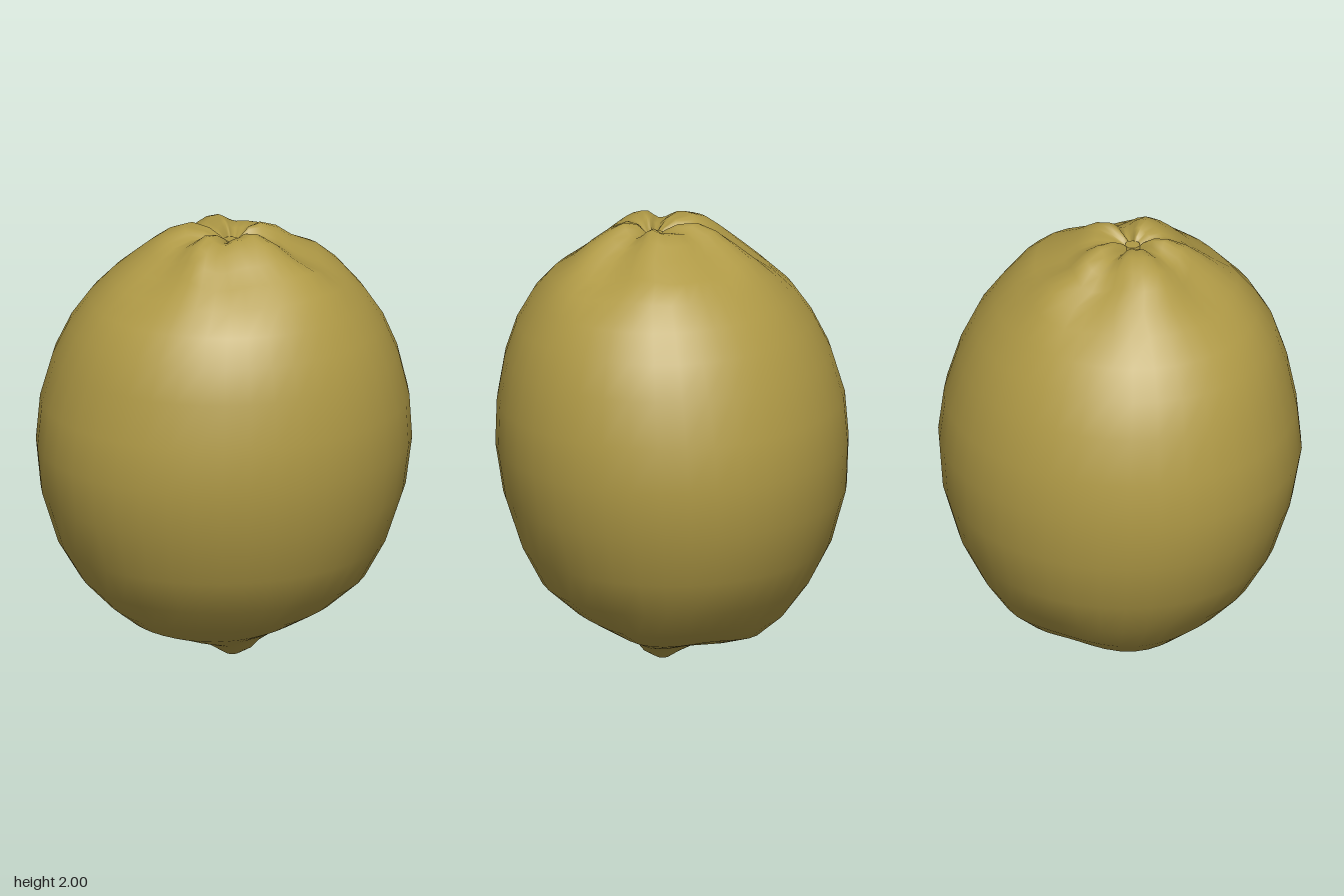
import * as THREE from 'three';

const SEGMENTS = 40;

// cross-sections from the tip to the crown: [y, xMin, xMax, zMin, zMax]
const RINGS = [
  [0.01, 0.01, 0.07, -0.03, 0.03],
  [0.045, -0.05, 0.13, -0.08, 0.08],
  [0.08, -0.12, 0.16, -0.12, 0.13],
  [0.115, -0.29, 0.21, -0.25, 0.24],
  [0.17, -0.42, 0.32, -0.41, 0.38],
  [0.25, -0.52, 0.45, -0.52, 0.48],
  [0.38, -0.63, 0.59, -0.63, 0.6],
  [0.55, -0.72, 0.68, -0.72, 0.7],
  [0.78, -0.785, 0.755, -0.79, 0.775],
  [1.0, -0.795, 0.787, -0.81, 0.812],
  [1.2, -0.78, 0.782, -0.785, 0.79],
  [1.4, -0.72, 0.745, -0.725, 0.745],
  [1.55, -0.645, 0.69, -0.655, 0.69],
  [1.67, -0.56, 0.62, -0.57, 0.61],
  [1.77, -0.46, 0.54, -0.48, 0.51],
  [1.84, -0.37, 0.44, -0.39, 0.41],
  [1.9, -0.29, 0.35, -0.26, 0.34],
  [1.95, -0.22, 0.27, -0.2, 0.28],
  [1.98, -0.14, 0.2, -0.12, 0.2],
  [1.97, -0.05, 0.14, -0.06, 0.14],
  [1.94, 0.01, 0.11, -0.01, 0.09],
];

// puckered folds round the crown, fading out down the body and into the pit
function folds(a) {
  return 0.55 * Math.sin(5 * a + 0.6) + 0.3 * Math.sin(8 * a + 2.1) + 0.15 * Math.sin(3 * a);
}

function peelGeometry() {
  const positions = [];
  const indices = [];
  const smooth = THREE.MathUtils.smoothstep;
  for (const [y, x0, x1, z0, z1] of RINGS) {
    const crown = smooth(y, 1.68, 1.9);
    const base = (1 - smooth(y, 0.15, 0.45)) * smooth(y, 0.03, 0.12);
    for (let j = 0; j < SEGMENTS; j++) {
      const a = (j / SEGMENTS) * Math.PI * 2;
      // slightly oval body with gentle fold ridges
      const r = 1 - 0.035 * Math.sin(2 * a) + crown * 0.09 * folds(a + 0.3) + base * 0.03 * Math.sin(5 * a);
      positions.push(
        (x0 + x1) / 2 + ((x1 - x0) / 2) * r * Math.cos(a),
        Math.min(2, y + crown * 0.03 * folds(a) + base * 0.01 * Math.sin(4 * a + 1)),
        (z0 + z1) / 2 + ((z1 - z0) / 2) * r * Math.sin(a)
      );
    }
  }
  const tip = positions.length / 3;
  positions.push(0.04, 0, 0, 0.06, 1.91, 0.04);
  const last = (RINGS.length - 1) * SEGMENTS;
  for (let j = 0; j < SEGMENTS; j++) {
    const k = (j + 1) % SEGMENTS;
    for (let i = 0; i < last; i += SEGMENTS) {
      const up = i + SEGMENTS;
      indices.push(i + j, up + j, i + k, up + j, up + k, i + k);
    }
    indices.push(tip, j, k, last + j, tip + 1, last + k);
  }
  const geometry = new THREE.BufferGeometry();
  geometry.setAttribute('position', new THREE.Float32BufferAttribute(positions, 3));
  geometry.setIndex(indices);
  geometry.computeVertexNormals();
  return geometry;
}

export function createModel() {
  const group = new THREE.Group();
  group.name = 'lemon';
  const peelColour = new THREE.MeshStandardMaterial({ color: 0xb09a46 });
  peelColour.name = 'olive yellow peel';

  // whole peel with its pointed tip and puckered crown
  const peel = new THREE.Mesh(peelGeometry(), peelColour);
  peel.name = 'peel';
  group.add(peel);

  // small round scar in the crown pit
  const scar = new THREE.Mesh(new THREE.CylinderGeometry(0.035, 0.045, 0.04, 7), peelColour);
  scar.name = 'stemScar';
  scar.position.set(0.06, 1.925, 0.04);
  group.add(scar);

  return group;
}
